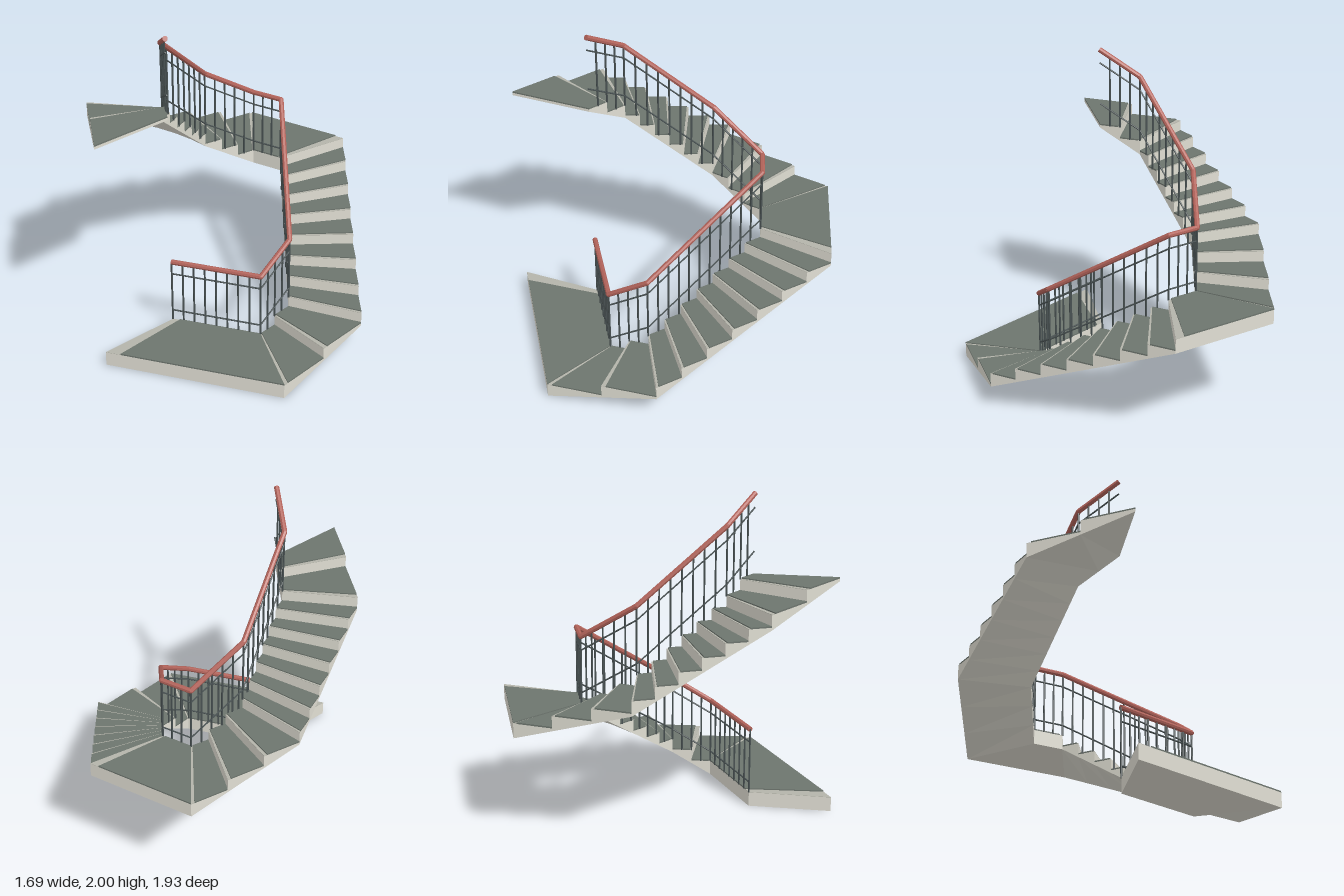
import * as THREE from 'three';

const RISE = 0.0737, TREAD_Y = 0.1, RAIL_Y = 0.511, PLATE = 0.009, NOSING = 0.002;

// Plan corners (x, z) of the inner and outer edges, in climbing order
const inner = [[-0.285, 0.535], [0.27, 0.535], [0.385, 0.315], [0.12, -0.44], [-0.07, -0.485], [-0.31, -0.23], [-0.4, 0.3], [-0.285, 0.535]];
const outer = [[-0.56, 0.963], [0.535, 0.963], [0.846, 0.35], [0.447, -0.8], [-0.22, -0.963], [-0.708, -0.43], [-0.846, 0.365], [-0.56, 0.963]];
// Number of treads per stretch, and the climb (in risers) at each corner
const treads = [1, 2, 7, 1, 3, 6, 2];
const climb = [0, 0, 2, 9, 9, 12, 18, 20];

const mix = (a, b, t) => a + (b - a) * t;
const at = (line, k, t) => [mix(line[k][0], line[k + 1][0], t), mix(line[k][1], line[k + 1][1], t)];
const height = (k, t) => mix(climb[k], climb[k + 1], t) * RISE;

// Four-sided block: plan corners counter-clockwise from above, with top and bottom heights
function block(plan, top, bottom) {
  const hi = plan.map(([x, z]) => [x, top, z]);
  const lo = plan.map(([x, z], i) => [x, bottom[i], z]);
  const pos = [];
  const quad = (a, b, c, d) => pos.push(...a, ...b, ...c, ...a, ...c, ...d);
  quad(...hi);
  quad(lo[3], lo[2], lo[1], lo[0]);
  for (let i = 0; i < 4; i++) {
    const j = (i + 1) % 4;
    quad(lo[i], lo[j], hi[j], hi[i]);
  }
  const g = new THREE.BufferGeometry();
  g.setAttribute('position', new THREE.Float32BufferAttribute(pos, 3));
  g.computeVertexNormals();
  return g;
}

export function createModel() {
  const material = (name, color) => {
    const m = new THREE.MeshStandardMaterial({ color });
    m.name = name;
    return m;
  };
  const concrete = material('paleConcrete', 0xe0ded3);
  const edging = material('nosingGrey', 0xb4b4aa);
  const covering = material('treadCovering', 0x6d756e);
  const metal = material('darkMetal', 0x485152);
  const wood = material('redHandrail', 0xb2635a);

  const model = new THREE.Group();
  model.name = 'staircase';
  const part = (name) => {
    const g = new THREE.Group();
    g.name = name;
    model.add(g);
    return g;
  };
  const add = (group, name, geometry, mat) => {
    const mesh = new THREE.Mesh(geometry, mat);
    mesh.name = name;
    group.add(mesh);
    return mesh;
  };
  // Faceted bar between two points
  const bar = (group, name, a, b, r, sides, mat) => {
    const dir = b.clone().sub(a);
    const geometry = new THREE.CylinderGeometry(r, r, dir.length(), sides).toNonIndexed();
    geometry.computeVertexNormals();
    const mesh = add(group, name, geometry, mat);
    mesh.position.copy(a).lerp(b, 0.5);
    mesh.quaternion.setFromUnitVectors(new THREE.Vector3(0, 1, 0), dir.normalize());
  };

  const steps = part('steps');
  const balusters = part('balusters');
  const rails = part('rails');

  treads.forEach((count, k) => {
    // Steps: concrete body with sloped soffit, low nosing strip, covering standing proud behind it
    for (let j = 0; j < count; j++) {
      const t0 = j / count, t1 = (j + 1) / count, t2 = mix(t0, t1, 0.085);
      const top = TREAD_Y + (climb[k] + j) * RISE;
      const plan = (s, e) => [at(inner, k, s), at(outer, k, s), at(outer, k, e), at(inner, k, e)];
      const y0 = height(k, t0), y1 = height(k, t1);
      const flat = Array(4).fill(top - PLATE);
      add(steps, 'step', block(plan(t0, t1), top - PLATE, [y0, y0, y1, y1]), concrete);
      add(steps, 'nosing', block(plan(t0, t2), top - PLATE + NOSING, flat), edging);
      add(steps, 'treadCovering', block(plan(t2, t1), top, flat), covering);
    }

    // Handrail and two thin rails along the inner edge
    const point = (t, y) => {
      const [x, z] = at(inner, k, t);
      return new THREE.Vector3(x, y, z);
    };
    const along = (t, drop) => point(t, RAIL_Y - drop + height(k, t));
    bar(rails, 'handrail', along(0, 0), along(1, 0), 0.016, 8, wood);
    if (k > 0) add(rails, 'handrailJoint', new THREE.SphereGeometry(0.015, 10, 8), wood).position.copy(along(0, 0));
    for (const drop of [0.085, 0.35]) bar(rails, 'thinRail', along(0, drop), along(1, drop), 0.005, 6, metal);

    // Balusters standing on the treads
    const a = inner[k], b = inner[k + 1];
    const n = Math.round(Math.hypot(b[0] - a[0], b[1] - a[1]) / 0.07);
    for (let i = 0; i < n; i++) {
      const t = i / n;
      const foot = TREAD_Y - PLATE + (climb[k] + Math.floor(t * count + 1e-6)) * RISE;
      bar(balusters, 'baluster', point(t, foot), along(t, 0), 0.006, 6, metal);
    }
  });

  return model;
}
